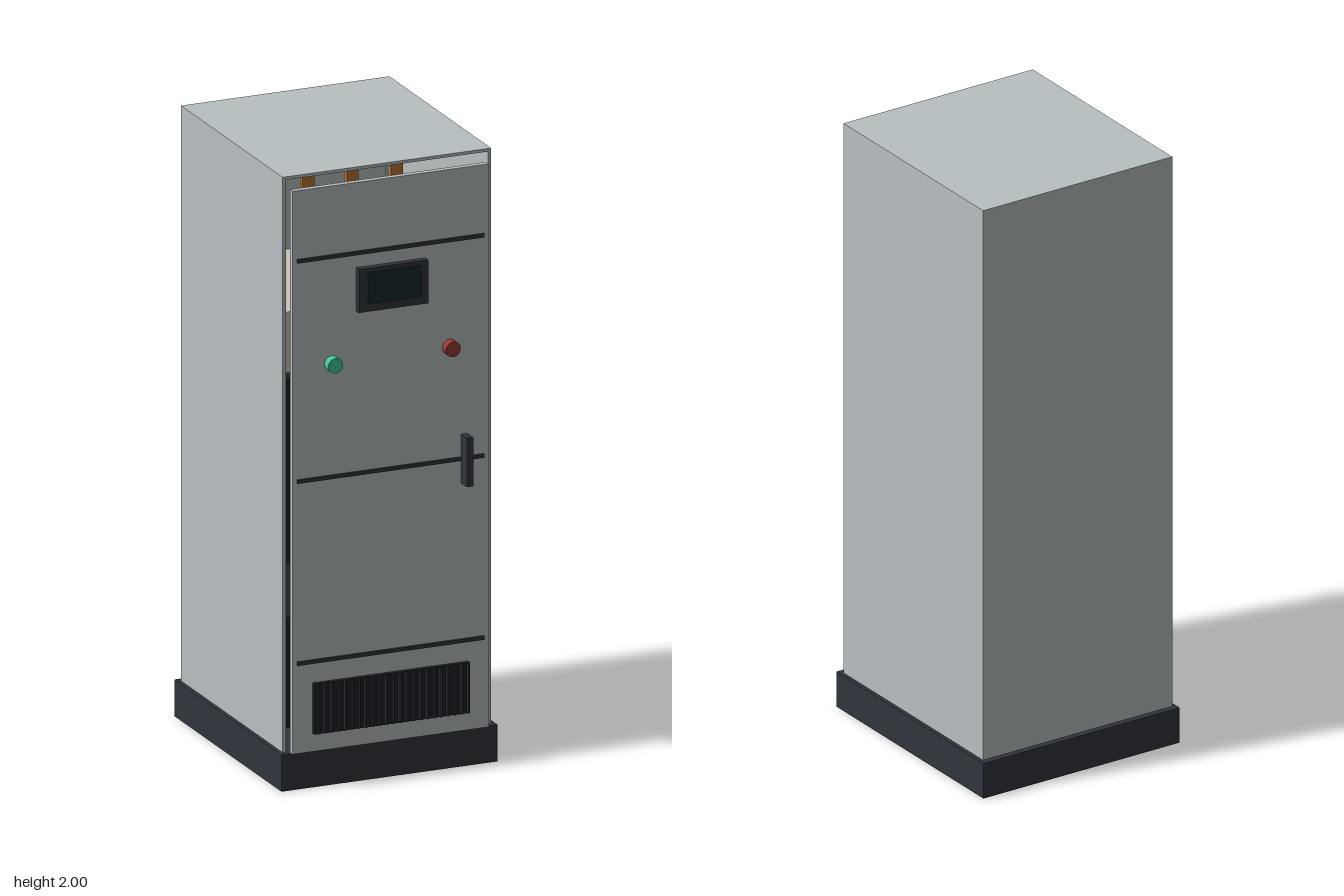
import * as THREE from 'three';

const material = (color) => new THREE.MeshStandardMaterial({ color });

export function createModel() {
  const model = new THREE.Group();
  const shell = material(0xb9c0c2);
  const dark = material(0x30353d);
  const black = material(0x1b1f25);
  const copper = material(0xb87333);
  const beige = material(0xc9c5b4);

  // Box given by its extents on each axis
  function box(name, mat, [x0, x1], [y0, y1], [z0, z1], parent = model) {
    const mesh = new THREE.Mesh(new THREE.BoxGeometry(x1 - x0, y1 - y0, z1 - z0), mat);
    mesh.position.set((x0 + x1) / 2, (y0 + y1) / 2, (z0 + z1) / 2);
    mesh.name = name;
    parent.add(mesh);
    return mesh;
  }
  function group(name) {
    const g = new THREE.Group();
    g.name = name;
    model.add(g);
    return g;
  }

  // Plinth
  box('plinth', dark, [-0.367, 0.367], [0, 0.12], [-0.435, 0.38]);

  // Hollow cabinet, open at the front
  const cabinet = group('cabinet');
  for (const s of [-1, 1]) {
    const inner = s * 0.343, outer = s * 0.354;
    box(s > 0 ? 'leftPanel' : 'rightPanel', shell,
      [Math.min(inner, outer), Math.max(inner, outer)], [0.12, 1.99], [-0.414, 0.36], cabinet);
  }
  box('backPanel', shell, [-0.343, 0.343], [0.12, 1.99], [-0.414, -0.403], cabinet);
  box('roof', shell, [-0.354, 0.354], [1.99, 2], [-0.414, 0.36], cabinet);

  // Equipment behind the door
  const equipment = group('equipment');
  box('mountingPlate', shell, [-0.32, 0.32], [0.16, 1.94], [-0.38, -0.365], equipment);
  box('lowerModule', black, [-0.28, 0.28], [0.14, 0.5], [-0.365, 0.2], equipment);
  box('middleModule', black, [-0.28, 0.28], [0.68, 1.28], [-0.365, 0.2], equipment);
  box('upperModule', beige, [-0.28, 0.28], [1.3, 1.5], [-0.365, 0.2], equipment);
  for (const x of [-0.15, 0, 0.15]) {
    box('busbar', copper, [x - 0.02, x + 0.02], [1.5, 1.9], [0.08, 0.1], equipment);
  }

  // Door with dark seams
  const door = group('door');
  box('doorPanel', shell, [-0.333, 0.333], [0.12, 1.96], [0.369, 0.389], door);
  for (const y of [0.415, 1.01, 1.73]) {
    box('doorSeam', dark, [-0.318, 0.316], [y - 0.006, y + 0.006], [0.388, 0.396], door);
  }

  // Display
  box('displayBezel', dark, [-0.118, 0.118], [1.54, 1.682], [0.388, 0.411]);
  box('displayScreen', material(0x162a2c), [-0.09, 0.09], [1.568, 1.668], [0.405, 0.42]);

  // Round push buttons
  for (const [name, x, color] of [['startButton', -0.2, 0x43c59e], ['stopButton', 0.2, 0x963a32]]) {
    const button = new THREE.Mesh(new THREE.CylinderGeometry(0.025, 0.025, 0.03, 24), material(color));
    button.rotation.x = Math.PI / 2;
    button.position.set(x, 1.38, 0.403);
    button.name = name;
    model.add(button);
  }

  // Handle
  box('doorHandle', dark, [0.238, 0.26], [0.93, 1.09], [0.388, 0.435]);

  // Ventilation grille with upright slats
  const grille = group('ventGrille');
  box('grillePlate', black, [-0.265, 0.262], [0.18, 0.345], [0.388, 0.404], grille);
  for (let i = 0; i < 23; i++) {
    const x = -0.2565 + i * 0.0232;
    box('grilleSlat', dark, [x - 0.003, x + 0.003], [0.182, 0.343], [0.4, 0.414], grille);
  }

  return model;
}
